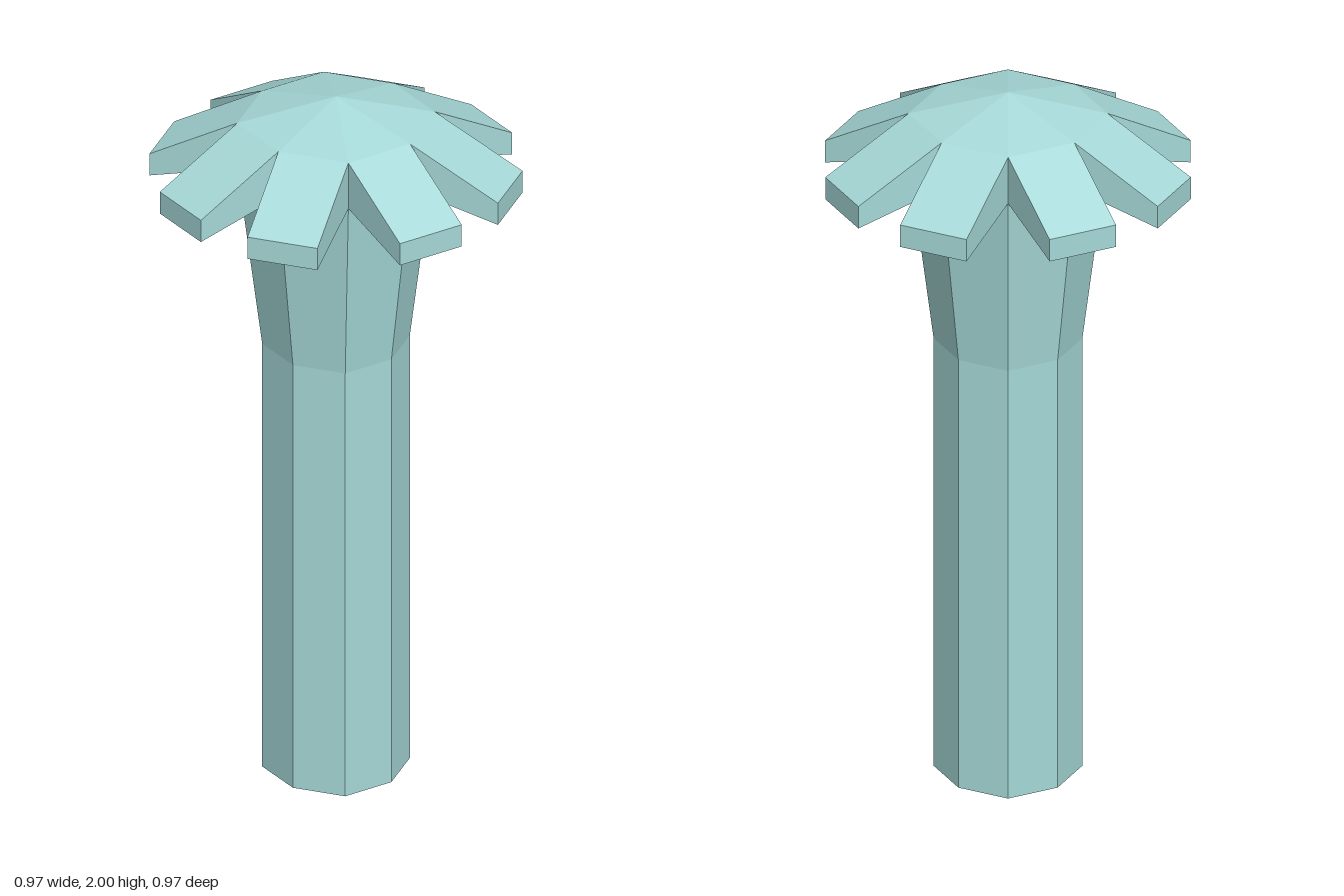
import * as THREE from 'three';

const SIDES = 8;
const DIAGONAL = 1.06; // diagonal corners sit slightly further out than axial ones
const RIM = 0.25;
const RIM_TOP = 1.937;
const RIM_BOTTOM = 1.8;

const material = new THREE.MeshStandardMaterial({ color: 0xa6d9d8, flatShading: true, side: THREE.DoubleSide });

function corner(i, radius) {
  const angle = (i / SIDES) * Math.PI * 2;
  const r = radius * (i % 2 ? DIAGONAL : 1);
  return new THREE.Vector3(Math.sin(angle) * r, 0, Math.cos(angle) * r);
}

// Eight-sided turned shape with its diagonal corners pushed out
function octagonal(name, profile) {
  const geometry = new THREE.LatheGeometry(profile.map(([r, y]) => new THREE.Vector2(r, y)), SIDES);
  const pos = geometry.attributes.position;
  for (let v = 0; v < pos.count; v++) {
    const ring = Math.floor(v / profile.length);
    const p = corner(ring % SIDES, profile[v % profile.length][0]);
    pos.setX(v, p.x);
    pos.setZ(v, p.z);
  }
  const flat = geometry.toNonIndexed();
  flat.computeVertexNormals();
  const mesh = new THREE.Mesh(flat, material);
  mesh.name = name;
  return mesh;
}

// Drooping slab reaching out from one edge of the cap
function petal(i) {
  const a = corner(i, RIM);
  const b = corner(i + 1, RIM);
  const edge = b.clone().sub(a);
  const out = new THREE.Vector3(-edge.z, 0, edge.x).normalize().multiplyScalar(0.248);
  // Section: inner bottom, outer bottom, outer top, inner top
  const section = [[0, RIM_BOTTOM], [1, 1.737], [1, 1.802], [0, RIM_TOP]];
  const place = (p) => section.map(([t, y]) => p.clone().addScaledVector(out, t).setY(y));
  const A = place(a);
  const B = place(b);
  const points = [];
  const quad = (p, q, r, s) => points.push(p, q, r, p, r, s);
  for (let k = 0; k < 3; k++) quad(A[k], B[k], B[k + 1], A[k + 1]);
  quad(...A);
  quad(...B.slice().reverse());
  const geometry = new THREE.BufferGeometry().setFromPoints(points);
  geometry.computeVertexNormals();
  const mesh = new THREE.Mesh(geometry, material);
  mesh.name = `petal${i + 1}`;
  return mesh;
}

export function createModel() {
  const model = new THREE.Group();
  model.name = 'petalColumn';

  // Straight shaft flaring out under the cap
  model.add(octagonal('shaft', [[0, 0], [0.187, 0], [0.187, 1.27]]));
  model.add(octagonal('flare', [[0.187, 1.27], [RIM, RIM_BOTTOM]]));

  // Shallow pointed cap with a ring of petals
  const crown = new THREE.Group();
  crown.name = 'crown';
  crown.add(octagonal('cap', [[RIM, RIM_TOP], [0, 2]]));
  for (let i = 0; i < SIDES; i++) crown.add(petal(i));
  model.add(crown);

  return model;
}
